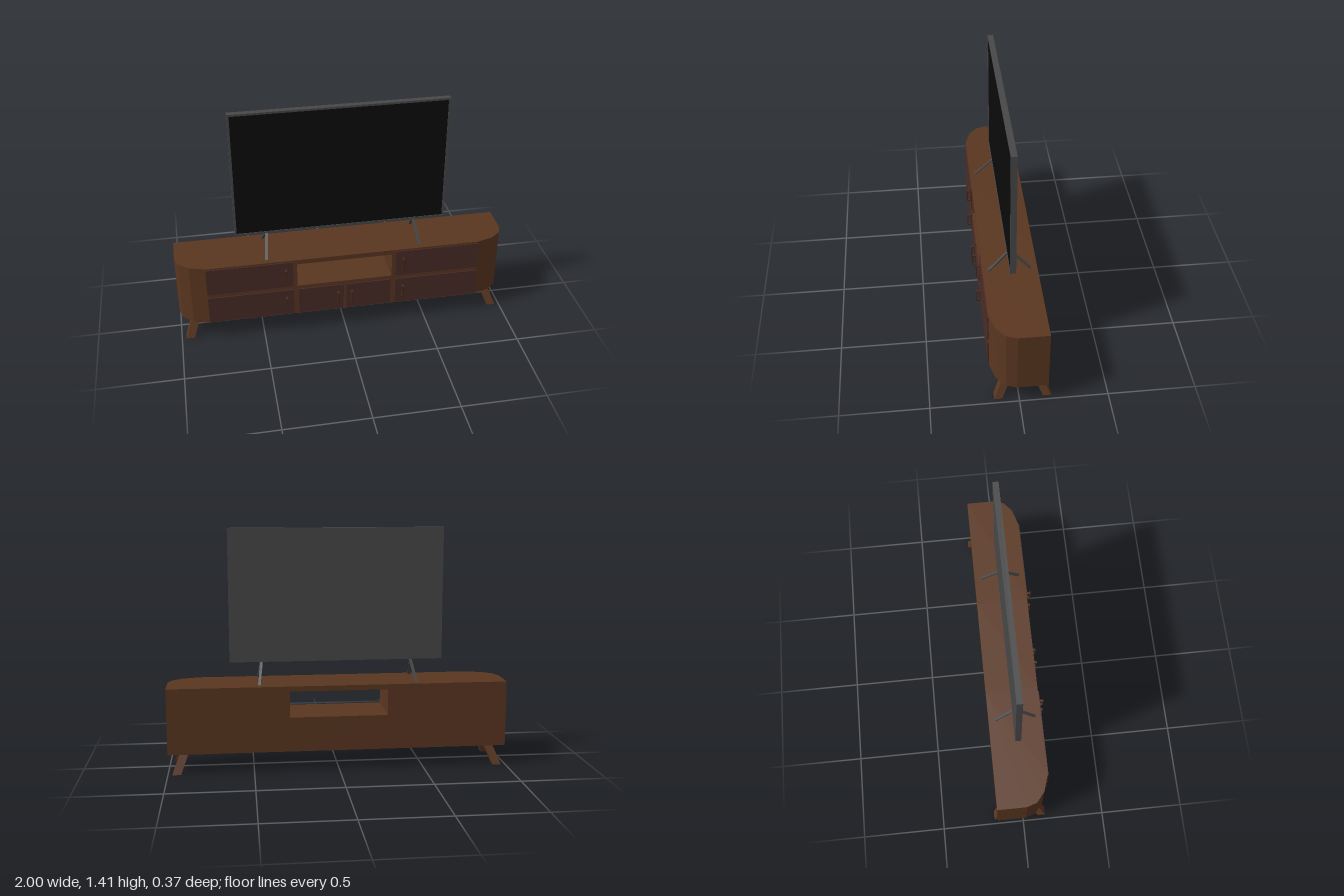
import * as THREE from 'three';

const mat = (color) => new THREE.MeshStandardMaterial({ color, flatShading: true });

export function createModel() {
  const group = new THREE.Group();
  const wood = mat(0x5a3620), doorWood = mat(0x4a2b26), handleWood = mat(0x47291c);
  const grey = mat(0x484848), black = mat(0x0b0b0b);

  const add = (name, geometry, material) => {
    const mesh = new THREE.Mesh(geometry, material);
    mesh.name = name;
    group.add(mesh);
    return mesh;
  };
  // Box given by its limits on each axis
  const block = (name, x0, x1, y0, y1, z0, z1, material) => {
    const mesh = add(name, new THREE.BoxGeometry(x1 - x0, y1 - y0, z1 - z0), material);
    mesh.position.set((x0 + x1) / 2, (y0 + y1) / 2, (z0 + z1) / 2);
    return mesh;
  };
  const rectangle = (Type, x0, x1, y0, y1) => new Type().setFromPoints(
    [[x0, y0], [x1, y0], [x1, y1], [x0, y1]].map(([x, y]) => new THREE.Vector2(x, y)));

  // Cabinet: two end units with faceted front corners, joined by a top and a base
  const bottom = 0.115, top = 0.505, back = -0.16, front = 0.155, bay = 0.288;
  const plan = [[bay, back], [1, back], [1, 0.015], [0.98, 0.075], [0.92, 0.125], [0.82, front], [bay, front]];
  for (const s of [1, -1]) {
    const shape = new THREE.Shape(plan.map(([x, z]) => new THREE.Vector2(s * x, -z)));
    const end = new THREE.ExtrudeGeometry(shape, { depth: top - bottom, bevelEnabled: false });
    end.rotateX(-Math.PI / 2).translate(0, bottom, 0);
    add(s > 0 ? 'leftCabinetEnd' : 'rightCabinetEnd', end, wood);
  }
  block('cabinetTop', -bay, bay, 0.475, top, back, front, wood);
  block('cabinetBase', -bay, bay, bottom, 0.32, back, front, wood);

  // D-shaped pull
  const handle = (x, y) => {
    const shape = rectangle(THREE.Shape, 0, 0.026, -0.04, 0.04);
    shape.holes.push(rectangle(THREE.Path, 0.004, 0.018, -0.032, 0.032));
    const geometry = new THREE.ExtrudeGeometry(shape, { depth: 0.014, bevelEnabled: false });
    geometry.translate(0, 0, -0.007).rotateY(-Math.PI / 2);
    add('handle', geometry, handleWood).position.set(x, y, 0.16);
  };

  for (const s of [1, -1]) {
    // Doors and their handles: x near the middle, x far, y low, y high, handle x, handle y
    for (const [a, b, y0, y1, hx, hy] of [
      [0.312, 0.825, 0.322, 0.495, 0.357, 0.41],
      [0.312, 0.825, 0.122, 0.296, 0.357, 0.21],
      [0.008, 0.282, 0.122, 0.296, 0.042, 0.21],
    ]) {
      block('door', Math.min(s * a, s * b), Math.max(s * a, s * b), y0, y1, 0.15, 0.161, doorWood);
      handle(s * hx, hy);
    }

    for (const f of [1, -1]) {
      // Splayed foot: a box sheared outwards towards the floor
      const foot = new THREE.BoxGeometry(0.05, bottom, 0.046).translate(0, bottom / 2, 0);
      const p = foot.attributes.position;
      for (let i = 0; i < p.count; i++) {
        const low = 1 - p.getY(i) / bottom;
        p.setX(i, p.getX(i) + s * (0.905 + 0.044 * low));
        p.setZ(i, p.getZ(i) + (f > 0 ? 0.067 : -0.107) + f * 0.05 * low);
      }
      foot.computeVertexNormals();
      add('cabinetLeg', foot, wood);

      // Strut of the screen stand
      const a = new THREE.Vector3(s * 0.445, 0.63, 0), b = new THREE.Vector3(s * 0.463, 0.503, f * 0.12);
      const strut = add('standLeg', new THREE.BoxGeometry(0.016, 0.01, a.distanceTo(b)), grey);
      strut.position.copy(a).add(b).multiplyScalar(0.5);
      strut.lookAt(b);
    }
  }

  // Television: bezel, back panel and slightly inset screen
  const bezel = rectangle(THREE.Shape, -0.634, 0.634, 0.626, 1.411);
  bezel.holes.push(rectangle(THREE.Path, -0.622, 0.622, 0.638, 1.399));
  const bezelGeometry = new THREE.ExtrudeGeometry(bezel, { depth: 0.034, bevelEnabled: false });
  add('televisionBezel', bezelGeometry.translate(0, 0, -0.017), grey);
  block('televisionBack', -0.622, 0.622, 0.638, 1.399, -0.017, 0.005, grey);
  block('screen', -0.622, 0.622, 0.638, 1.399, 0.005, 0.014, black);

  return group;
}
